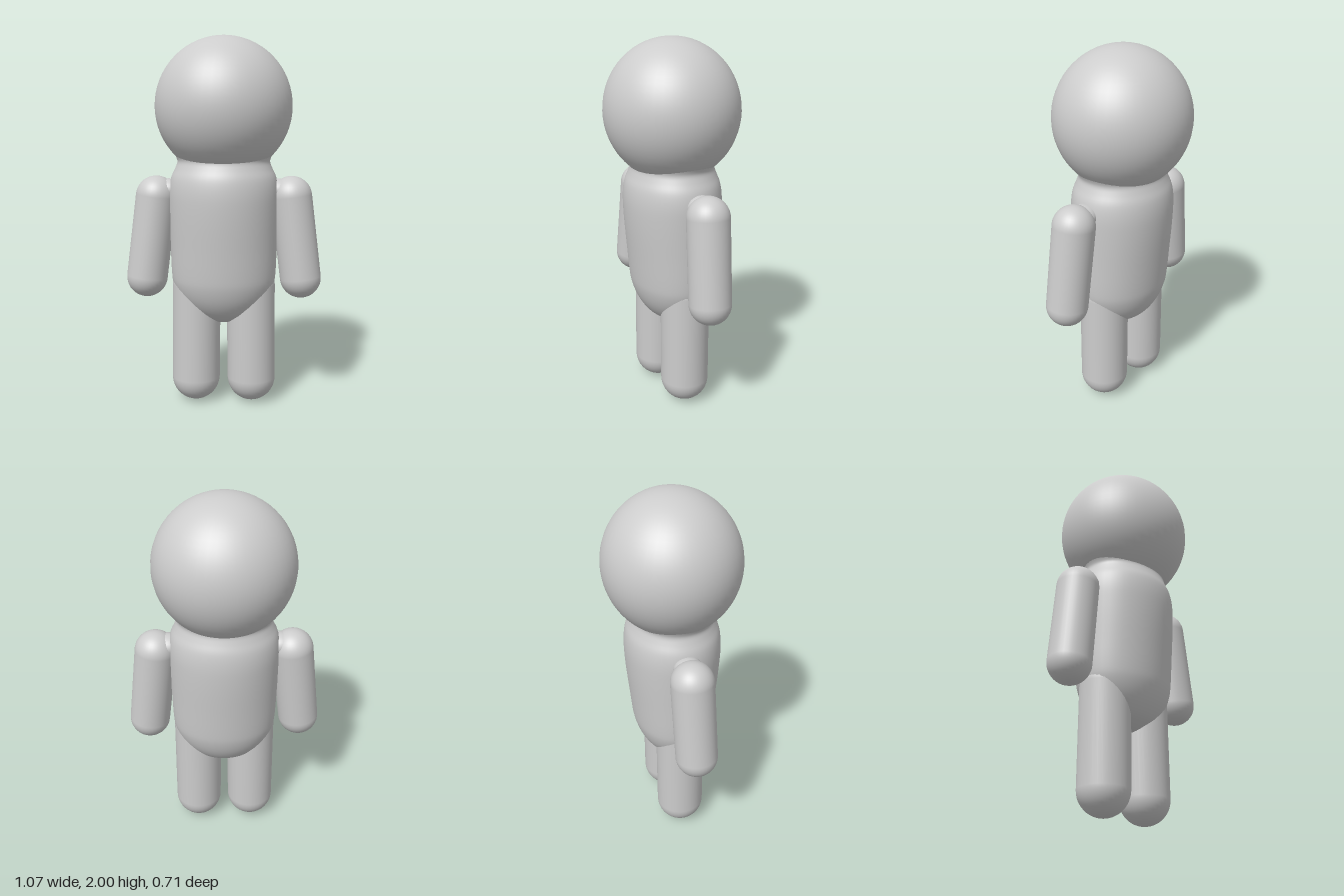
import * as THREE from 'three';
import { mergeVertices } from 'three/addons/utils/BufferGeometryUtils.js';

const clay = new THREE.MeshStandardMaterial({ color: 0xcccccc });
clay.name = 'plain grey';

function part(name, geometry) {
  const mesh = new THREE.Mesh(geometry, clay);
  mesh.name = name;
  return mesh;
}

// Rounded limb between two joint centres
function limb(name, from, to, radius) {
  const a = new THREE.Vector3(...from), b = new THREE.Vector3(...to);
  const dir = a.clone().sub(b);
  const mesh = part(name, new THREE.CapsuleGeometry(radius, dir.length(), 12, 36));
  mesh.position.copy(a).add(b).multiplyScalar(0.5);
  mesh.quaternion.setFromUnitVectors(new THREE.Vector3(0, 1, 0), dir.normalize());
  return mesh;
}

// Torso: half width by height, flattened in depth more toward the hips
function torsoGeometry() {
  const profile = [
    [0, 0.445], [0.07, 0.455], [0.13, 0.48], [0.19, 0.52], [0.243, 0.585],
    [0.276, 0.66], [0.287, 0.74], [0.292, 0.9], [0.297, 1.08], [0.297, 1.18],
    [0.286, 1.25], [0.264, 1.3], [0.251, 1.335], [0.256, 1.36], [0.27, 1.385],
  ].map(([r, y]) => new THREE.Vector2(r, y));
  const points = new THREE.SplineCurve(profile).getPoints(56);
  points.forEach((p) => { p.x = Math.max(0, p.x); });
  let geo = new THREE.LatheGeometry(points, 48);
  const pos = geo.attributes.position;
  for (let i = 0; i < pos.count; i++) {
    const depth = 0.77 + 0.09 * THREE.MathUtils.smoothstep(pos.getY(i), 0.6, 1.15);
    pos.setZ(i, pos.getZ(i) * depth);
  }
  // Weld the seam so the shading stays smooth
  geo.deleteAttribute('uv');
  geo.deleteAttribute('normal');
  geo = mergeVertices(geo, 1e-5);
  geo.computeVertexNormals();
  return geo;
}

export function createModel() {
  const model = new THREE.Group();
  model.name = 'figure';

  const head = part('head', new THREE.SphereGeometry(1, 48, 32));
  head.scale.set(0.368, 0.37, 0.356);
  head.position.y = 1.63;
  model.add(head, part('torso', torsoGeometry()));

  for (const [side, s] of [['left', 1], ['right', -1]]) {
    model.add(limb(side + 'Leg', [s * 0.15, 0.66, 0.004], [s * 0.155, 0.133, 0.006], 0.133));
    model.add(limb(side + 'Arm', [s * 0.368, 1.148, 0.002], [s * 0.422, 0.704, 0.016], 0.112));

    // Soft bridge between torso and upper arm
    const shoulder = part(side + 'Shoulder', new THREE.SphereGeometry(1, 24, 16));
    shoulder.scale.set(0.09, 0.062, 0.075);
    shoulder.position.set(s * 0.3, 1.183, 0);
    model.add(shoulder);
  }
  return model;
}
